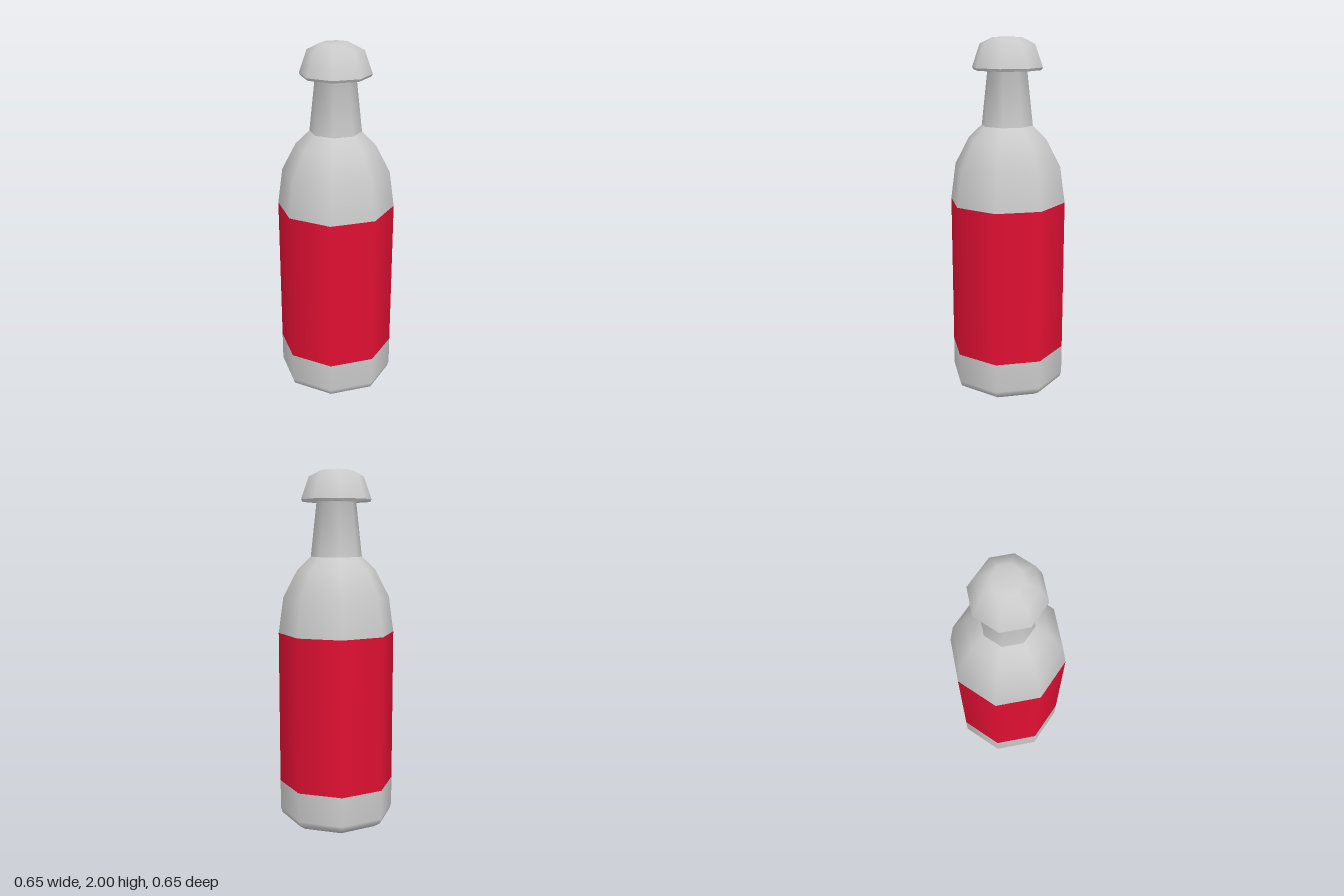
import * as THREE from 'three';

const SIDES = 8;
const grey = new THREE.MeshStandardMaterial({ color: 0xcccccc, side: THREE.DoubleSide });
const red = new THREE.MeshStandardMaterial({ color: 0xe01033, side: THREE.DoubleSide });

// Eight-sided turned part; profile points are [radius, height], listed upwards
function turned(name, profile, material) {
  const points = profile.map(([r, y]) => new THREE.Vector2(r, y));
  const mesh = new THREE.Mesh(new THREE.LatheGeometry(points, SIDES), material);
  mesh.name = name;
  return mesh;
}

export function createModel() {
  const bottle = new THREE.Group();
  bottle.name = 'bottle';

  bottle.add(
    // Rounded foot below the label
    turned('base', [[0, 0], [0.2, 0.005], [0.275, 0.018], [0.316, 0.045], [0.326, 0.075], [0.326, 0.24]], grey),
    // Coloured band around the straight body
    turned('label', [[0.326, 0.24], [0.326, 1.105]], red),
    // Shoulder curving in to the foot of the neck
    turned('shoulder', [[0.326, 1.105], [0.298, 1.305], [0.22, 1.455], [0.143, 1.53]], grey),
    // Tapered neck, flaring out under the cap
    turned('neck', [[0.143, 1.53], [0.11, 1.828], [0.187, 1.828]], grey),
    // Domed cap with a narrow rim
    turned('capRim', [[0.187, 1.828], [0.195, 1.842]], grey),
    turned('cap', [[0.195, 1.842], [0.152, 1.965], [0.08, 2], [0, 2]], grey),
  );

  return bottle;
}
